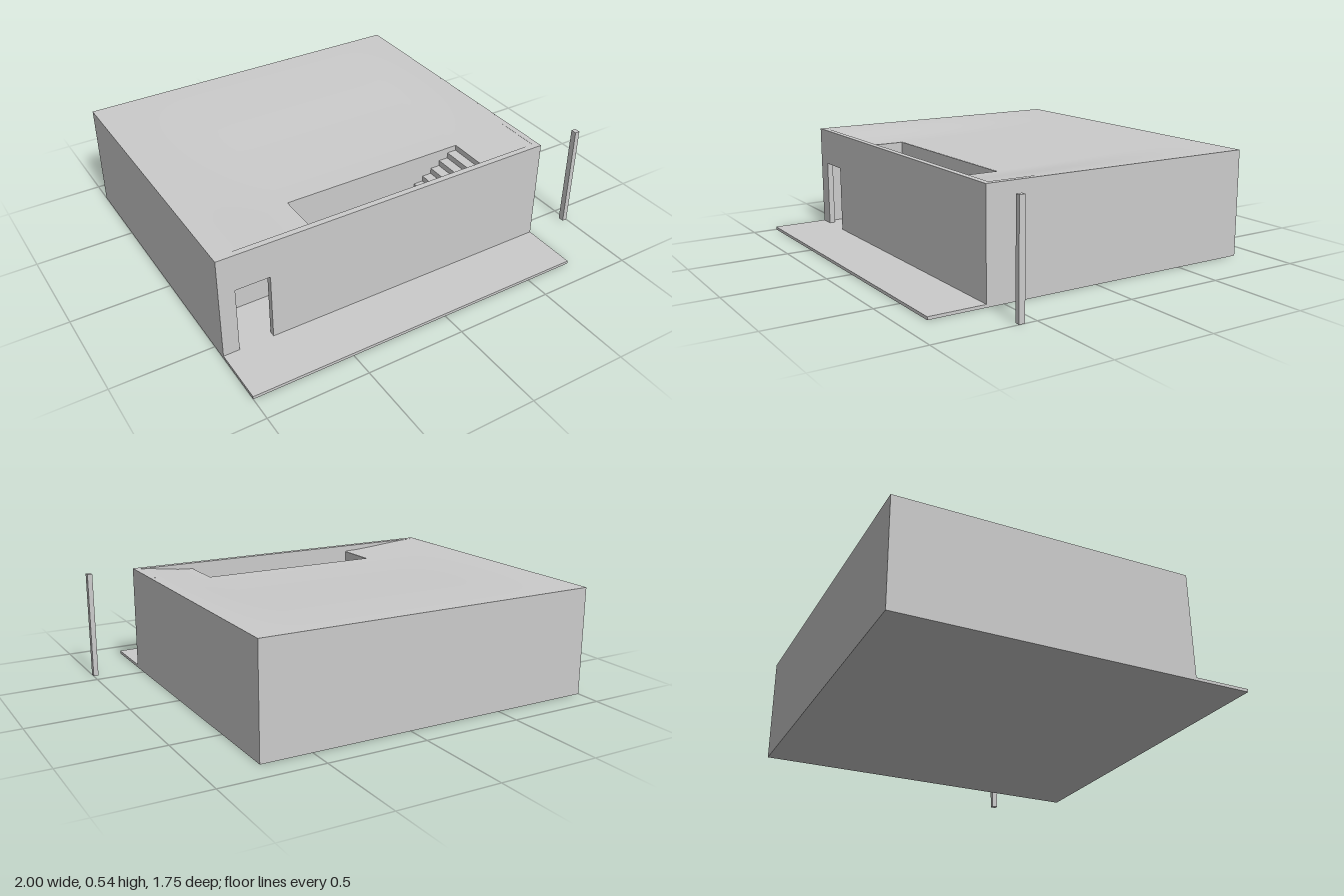
import * as THREE from 'three';
import { mergeGeometries, mergeVertices } from 'three/addons/utils/BufferGeometryUtils.js';

const material = new THREE.MeshStandardMaterial({ color: 0xcccccc, side: THREE.DoubleSide });

// Main extents of the hillside block and of the stairwell cut into it
const X0 = -1, X1 = 0.75, Z0 = -0.875, Z1 = 0.56, TOP = 0.54, DIP = 0.03;
const HOLE = { x0: -0.52, x1: 0.43, z0: 0.33 };

export function createModel() {
  const model = new THREE.Group();

  const add = (name, geometry) => {
    const mesh = new THREE.Mesh(geometry, material);
    mesh.name = name;
    model.add(mesh);
  };
  // Box given by its minimum and maximum on each axis
  const box = (name, x0, x1, y0, y1, z0, z1) => add(name,
    new THREE.BoxGeometry(x1 - x0, y1 - y0, z1 - z0)
      .translate((x0 + x1) / 2, (y0 + y1) / 2, (z0 + z1) / 2));

  // Ground surface: flush with the rim, sinking gently towards the stairwell
  const ease = (t) => THREE.MathUtils.smoothstep(t, 0, 1);
  const height = (x, z) => TOP - DIP
    * ease((x - X0) / (HOLE.x0 - X0))
    * ease((X1 - x) / (X1 - HOLE.x1))
    * ease((z - Z0) / (HOLE.z0 - Z0));
  const xs = [X0, HOLE.x0, HOLE.x1, X1], zs = [Z0, HOLE.z0, Z1];
  const patches = [];
  for (let i = 0; i < 3; i++) {
    for (let j = 0; j < 2; j++) {
      if (i === 1 && j === 1) continue; // open stairwell
      const w = xs[i + 1] - xs[i], d = zs[j + 1] - zs[j];
      const patch = new THREE.PlaneGeometry(w, d, 12, j ? 6 : 24).rotateX(-Math.PI / 2)
        .translate((xs[i] + xs[i + 1]) / 2, 0, (zs[j] + zs[j + 1]) / 2);
      const p = patch.attributes.position;
      for (let k = 0; k < p.count; k++) p.setY(k, height(p.getX(k), p.getZ(k)));
      patch.deleteAttribute('normal');
      patch.deleteAttribute('uv');
      patches.push(patch);
    }
  }
  const ground = mergeVertices(mergeGeometries(patches), 1e-4);
  ground.computeVertexNormals();
  add('groundSurface', ground);

  // Hillside mass and its thin outer faces reaching up to the rim
  const fill = TOP - DIP - 0.003;
  box('hillside', X0 + 0.004, X1 - 0.004, 0, fill, Z0 + 0.004, HOLE.z0);
  box('backFace', X0, X1, 0, TOP, Z0, Z0 + 0.004);
  box('rightFace', X0, X0 + 0.004, 0, TOP, Z0, Z1);
  box('leftFace', X1 - 0.004, X1, 0, TOP, Z0, Z1);

  // Passage behind the front wall: floor, end wall, ceiling and upper landing
  box('passageFloor', X0, HOLE.x1, 0, 0.015, HOLE.z0, Z1);
  box('passageEndWall', X0 + 0.004, -0.97, 0, fill, HOLE.z0, Z1);
  box('passageCeiling', -0.97, HOLE.x0, 0.44, fill, HOLE.z0, Z1);
  box('upperLanding', HOLE.x1, X1 - 0.004, 0, fill, HOLE.z0, Z1);
  box('landingSideWall', 0.72, X1, 0, TOP, HOLE.z0, Z1);

  // Stairs climbing from the doorway towards the landing
  const steps = 16, stairStart = -0.35, run = (HOLE.x1 - stairStart) / steps;
  for (let i = 0; i < steps; i++) {
    const x = stairStart + i * run;
    box('step', x, x + run, 0, 0.015 + (i + 1) * 0.029, HOLE.z0, Z1);
  }

  // Front wall with the doorway
  const wall = new THREE.Shape([
    [X0, 0], [-0.92, 0], [-0.92, 0.355], [-0.75, 0.355], [-0.75, 0], [X1, 0], [X1, TOP], [X0, TOP],
  ].map(([x, y]) => new THREE.Vector2(x, y)));
  add('frontWall', new THREE.ExtrudeGeometry(wall, { depth: 0.03, bevelEnabled: false })
    .translate(0, 0, Z1));

  // Paving in front, door sill and the free-standing post
  box('paving', X0, X1, 0, 0.015, 0.59, 0.875);
  box('doorSill', -0.92, -0.75, 0, 0.015, Z1, 0.59);
  box('post', 0.975, 1, 0, TOP, Z1, 0.59);

  return model;
}
